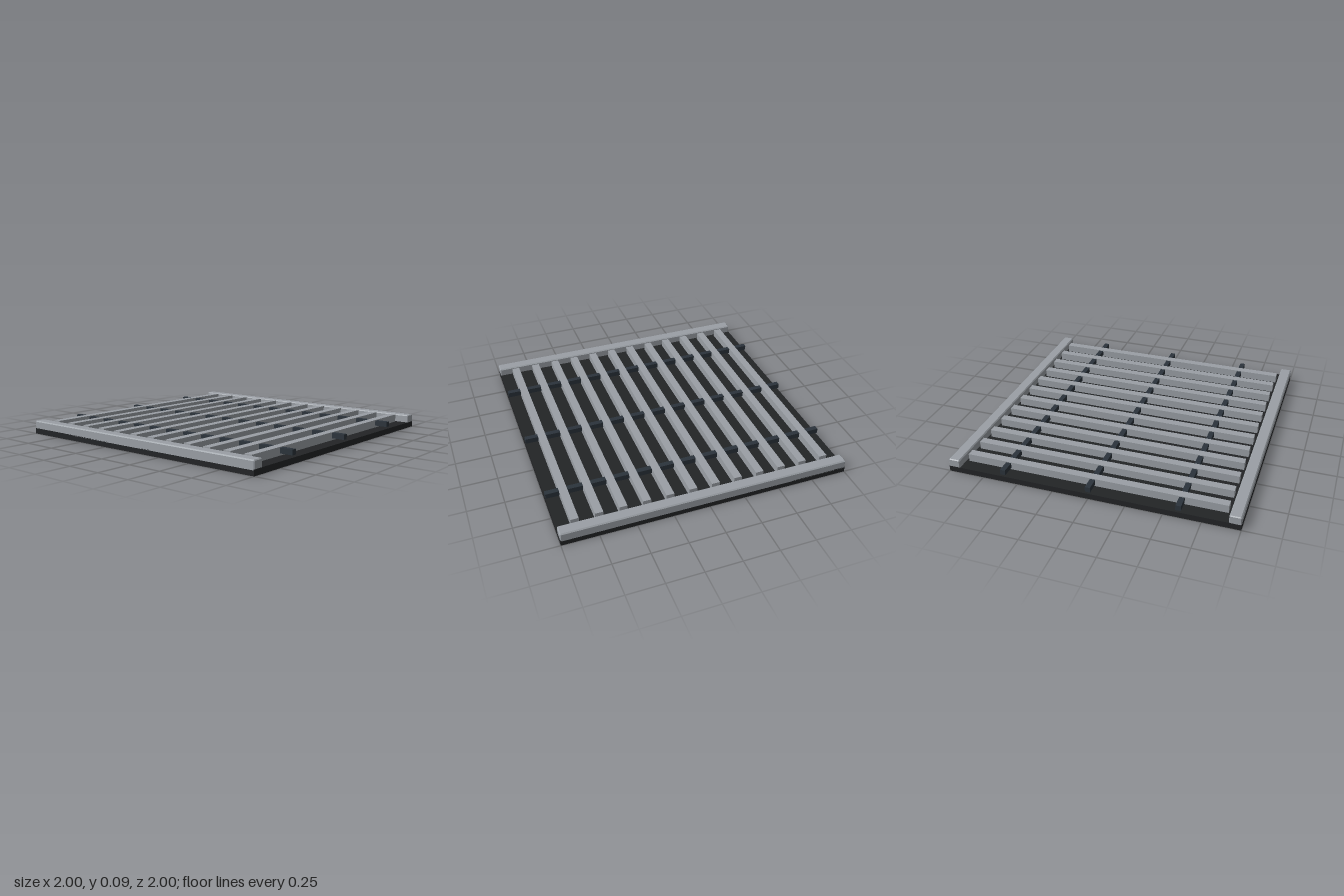
import * as THREE from 'three';

const darkMat = new THREE.MeshStandardMaterial({ color: 0x222426 });
const barMat = new THREE.MeshStandardMaterial({ color: 0x2b333b });
const slatMat = new THREE.MeshStandardMaterial({ color: 0x9a9fa5 });

function box(name, mat, w, h, d, x, y, z) {
  const mesh = new THREE.Mesh(new THREE.BoxGeometry(w, h, d), mat);
  mesh.name = name;
  mesh.position.set(x, y, z);
  return mesh;
}

// Edge rail along x, with chamfered long edges and ends
function edgeRail(name, z) {
  const bevel = 0.006, hw = 0.04 - bevel, top = 0.095 - bevel, c = 0.004;
  const profile = new THREE.Shape([
    [-hw, 0.04], [hw, 0.04], [hw, top - c], [hw - c, top], [c - hw, top], [-hw, top - c],
  ].map(([x, y]) => new THREE.Vector2(x, y)));
  const geo = new THREE.ExtrudeGeometry(profile, {
    depth: 2 - 2 * bevel, bevelEnabled: true, bevelThickness: bevel, bevelSize: bevel, bevelSegments: 1,
  });
  geo.translate(0, 0, bevel - 1);
  geo.rotateY(Math.PI / 2);
  const mesh = new THREE.Mesh(geo, slatMat);
  mesh.name = name;
  mesh.position.z = z;
  return mesh;
}

export function createModel() {
  const group = new THREE.Group();
  group.name = 'slattedGrate';

  // Base tray
  group.add(box('base', darkMat, 2, 0.04, 2, 0, 0.02, 0));

  // Front and back rails
  group.add(edgeRail('frontRail', 0.96), edgeRail('backRail', -0.96));

  // Twelve slats running front to back
  for (let i = 0; i < 12; i++) {
    group.add(box('slat', slatMat, 0.055, 0.055, 1.8, -0.88 + 0.16 * i, 0.0675, 0));
  }

  // Cross bars threaded through the slats
  for (const z of [-0.6, 0, 0.6]) {
    group.add(box('crossBar', barMat, 2, 0.036, 0.036, 0, 0.072, z));
  }
  return group;
}
